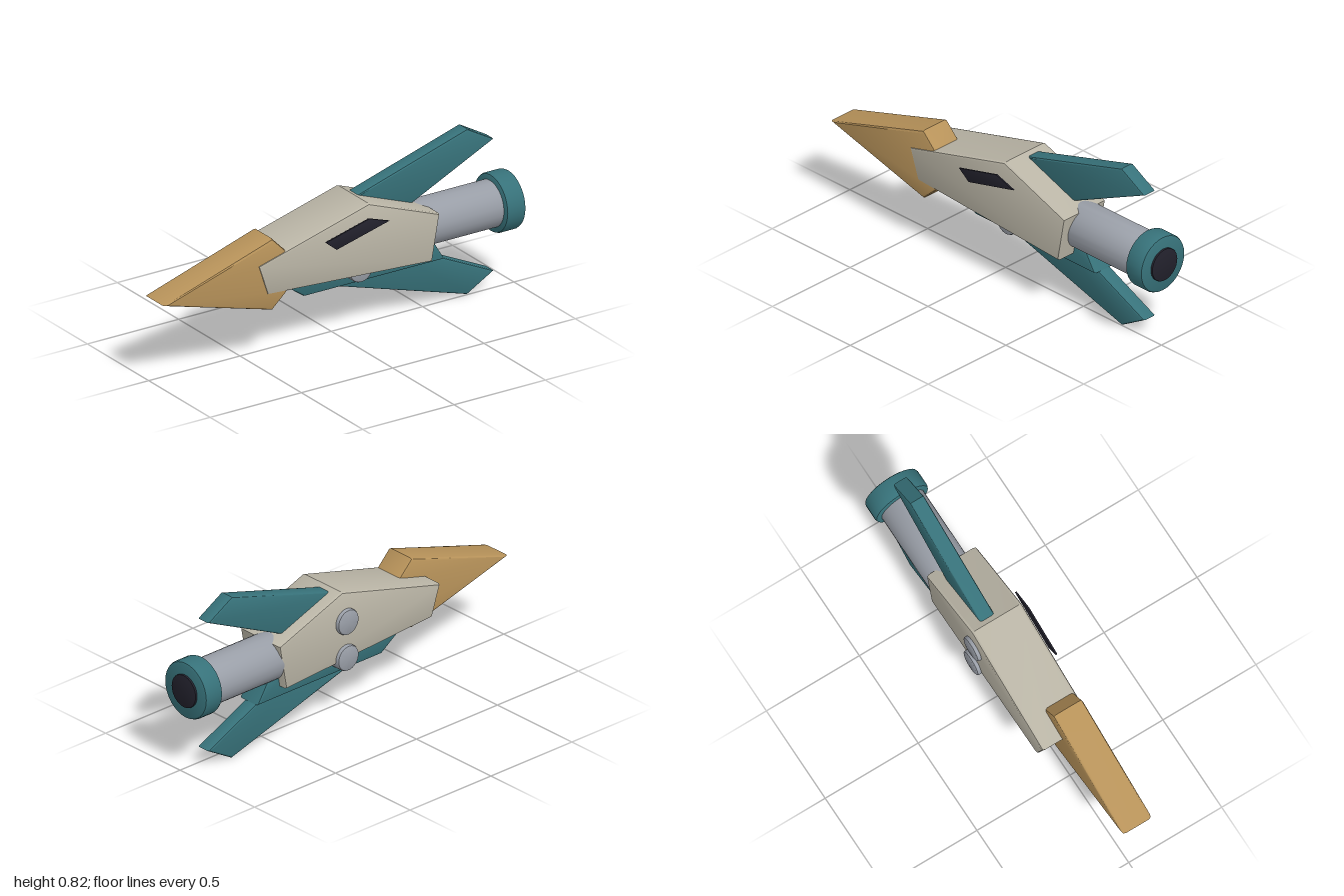
import * as THREE from 'three';
import { toCreasedNormals } from 'three/addons/utils/BufferGeometryUtils.js';

function mat(name, color) {
  const m = new THREE.MeshStandardMaterial({ color });
  m.name = name;
  return m;
}

// Side outline extruded from z0 to z1 with softened edges kept inside the outline
function plate(points, z0, z1, bevel) {
  const shape = new THREE.Shape(points.map(([x, y]) => new THREE.Vector2(x, y)));
  const geo = new THREE.ExtrudeGeometry(shape, {
    depth: z1 - z0 - 2 * bevel,
    bevelEnabled: bevel > 0,
    bevelThickness: bevel,
    bevelSize: bevel,
    bevelOffset: -bevel,
    bevelSegments: 2,
  });
  geo.translate(0, 0, z0 + bevel);
  return toCreasedNormals(geo, 0.6);
}

// Closed cylinder along +y from a to b with chamfered rims
function drum(radius, a, b, c) {
  const profile = [
    [0, a], [radius - c, a], [radius - c * 0.3, a + c * 0.3], [radius, a + c],
    [radius, b - c], [radius - c * 0.3, b - c * 0.3], [radius - c, b], [0, b],
  ].map(([r, y]) => new THREE.Vector2(r, y));
  return toCreasedNormals(new THREE.LatheGeometry(profile, 32), 0.6);
}

export function createModel() {
  const model = new THREE.Group();
  const cream = mat('cream hull', 0xbab5a6);
  const teal = mat('teal trim', 0x37727a);
  const tan = mat('tan nose', 0xb8935a);
  const gray = mat('gray metal', 0x9a9fa8);
  const dark = mat('dark glass', 0x22212c);

  const add = (name, geo, material) => {
    const mesh = new THREE.Mesh(geo, material);
    mesh.name = name;
    model.add(mesh);
    return mesh;
  };

  const axisY = 0.415, axisZ = -0.023;

  // Hull and nose
  add('hull', plate(
    [[-0.485, 0.49], [-0.435, 0.338], [0.467, 0.283], [0.508, 0.51], [0.12, 0.655]],
    -0.137, 0.133, 0.014), cream);
  add('nose', plate(
    [[-1, 0.417], [-0.405, 0.252], [-0.325, 0.325], [-0.325, 0.525], [-0.405, 0.607]],
    -0.03, 0.126, 0.014), tan);

  // Window floating just off the hull side
  add('window', plate(
    [[-0.138, 0.535], [-0.078, 0.486], [0.21, 0.56], [0.1, 0.597]],
    0.153, 0.162, 0.002), dark);

  // Keel under the hull
  add('keel', plate(
    [[-0.33, 0.345], [-0.165, 0.228], [0.602, 0.228], [0.54, 0.33], [0.4, 0.37], [-0.2, 0.37]],
    -0.09, 0.032, 0.012), teal);

  // Upper and lower swept fins, mirrored about the engine axis
  for (const s of [1, -1]) {
    const pts = [[0, 0.187], [0.25, 0.025], [0.89, 0.327], [0.745, 0.411]]
      .map(([x, y]) => [x, axisY + s * y]);
    add(s > 0 ? 'upperFin' : 'lowerFin', plate(pts, -0.073, 0.002, 0.011), teal);
  }

  // Engine barrel, collar and nozzle along x
  const alongX = (name, r, a, b, c, material) => {
    const geo = drum(r, a, b, c).rotateZ(-Math.PI / 2);
    add(name, geo.translate(0, axisY, axisZ), material);
  };
  alongX('engineBarrel', 0.113, 0.3, 0.9, 0.004, gray);
  alongX('engineCollar', 0.142, 0.885, 0.99, 0.014, teal);
  alongX('nozzle', 0.081, 0.95, 1, 0.003, dark);

  // Round studs on the back; the lower one runs through under the hull
  for (const [name, y, front] of [['upperStud', 0.504, 0.1], ['lowerStud', 0.321, 0.1]]) {
    const geo = drum(0.064, -0.157, front, 0.011).rotateX(Math.PI / 2);
    add(name, geo.translate(0.1, y, 0), gray);
  }
  return model;
}
